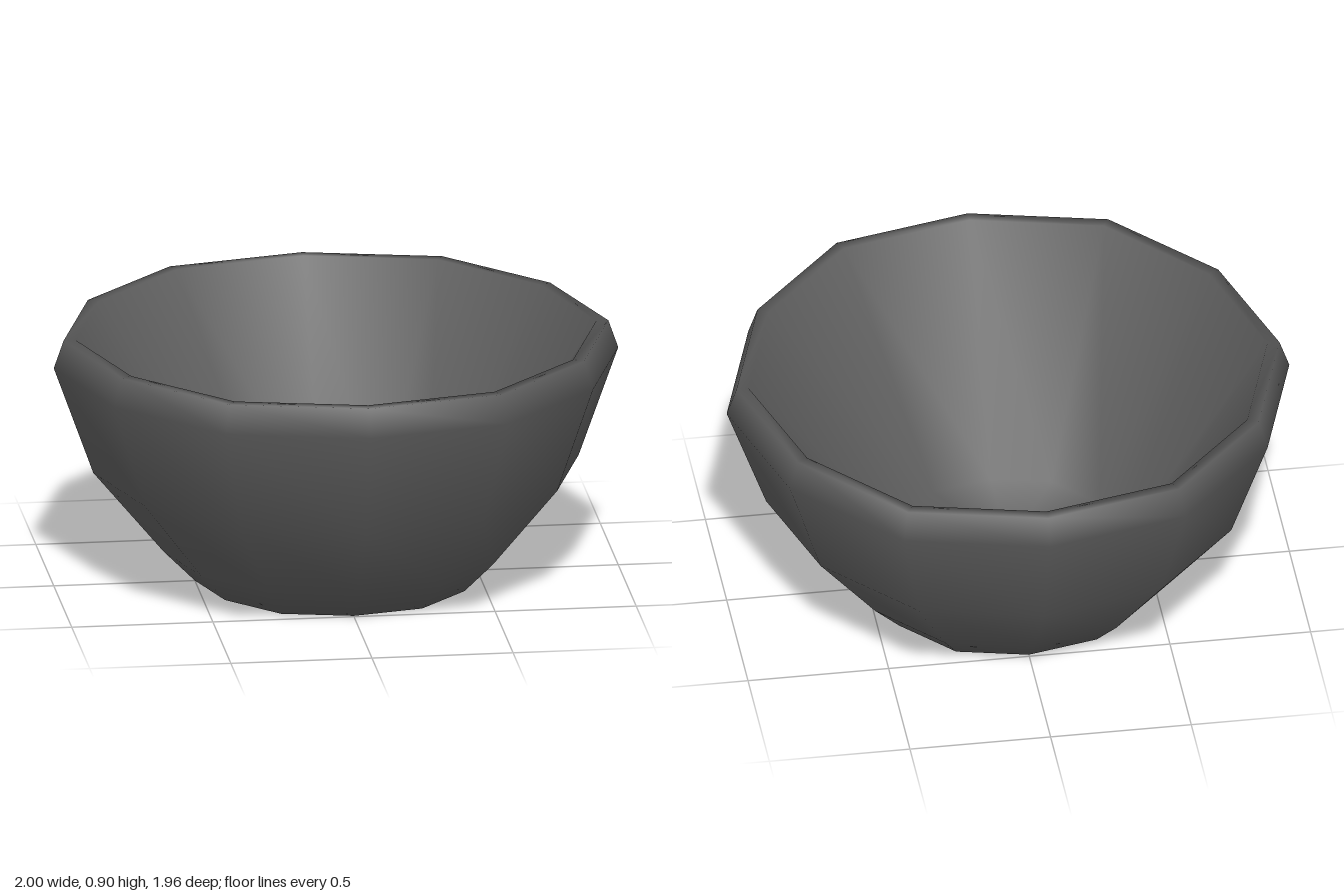
import * as THREE from 'three';
import { mergeVertices } from 'three/addons/utils/BufferGeometryUtils.js';

const SIDES = 12;

// Closed wall profile: base centre, up the outside, over the lip, down the straight inside wall to the floor
const PROFILE = [
  [0, 0], [0.5, 0], [0.61, 0.11], [0.86, 0.41], [1, 0.8], [0.965, 0.9],
  [0.922, 0.9], [0.42, 0.13], [0, 0.13],
];

export function createModel() {
  const group = new THREE.Group();
  group.name = 'bowl';

  let geometry = new THREE.LatheGeometry(PROFILE.map(([r, y]) => new THREE.Vector2(r, y)), SIDES);

  // Every second corner is pulled in a little
  const pos = geometry.attributes.position;
  for (let i = 0; i < pos.count; i++) {
    const x = pos.getX(i), z = pos.getZ(i);
    const k = 1 - 0.01 * (1 + Math.cos(6 * Math.atan2(x, z)));
    pos.setX(i, x * k);
    pos.setZ(i, z * k);
  }

  // Weld the seam and smooth the whole shell
  geometry.deleteAttribute('uv');
  geometry.deleteAttribute('normal');
  geometry = mergeVertices(geometry, 1e-4);
  geometry.computeVertexNormals();

  const shell = new THREE.Mesh(geometry, new THREE.MeshStandardMaterial({ color: 0x5c5c5c }));
  shell.name = 'bowlShell';
  group.add(shell);
  return group;
}
